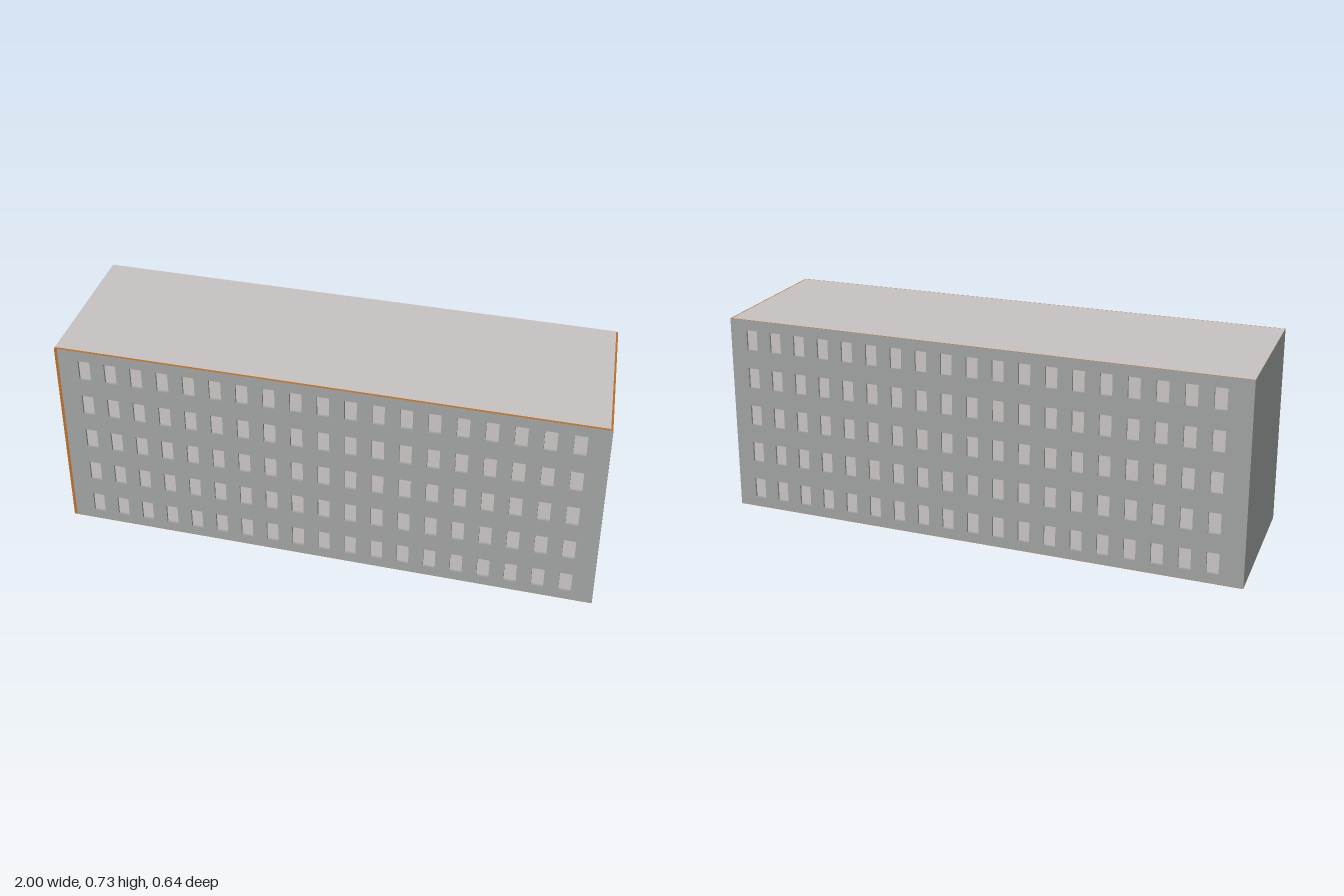
import * as THREE from 'three';

const H = 0.73, T = 0.01, Z = 0.32;
const WIN_W = 0.044, WIN_H = 0.075, COLS = 19, ROWS = 5;
const STEP_X = 0.0972, STEP_Y = 0.1444, FIRST_Y = 0.075;

const mat = (name, color) => {
  const m = new THREE.MeshStandardMaterial({ color });
  m.name = name;
  return m;
};

// Shape from [x, z] plan corners
const plan = (pts) => new THREE.Shape(pts.map(([x, z]) => new THREE.Vector2(x, -z)));

export function createModel() {
  const wall = mat('wallGrey', 0xa0a3a1);
  const pale = mat('paleGrey', 0xc9c4c4);
  const trim = mat('rustTrim', 0xb8702f);
  pale.side = trim.side = THREE.DoubleSide;

  const building = new THREE.Group();
  building.name = 'building';
  const add = (parent, name, geo, material) => {
    const mesh = new THREE.Mesh(geo, material);
    mesh.name = name;
    parent.add(mesh);
    return mesh;
  };

  // Flat or extruded pieces laid out in plan
  const slab = (name, pts, height, y, material) => {
    const geo = new THREE.ExtrudeGeometry(plan(pts), { depth: height, bevelEnabled: false });
    add(building, name, geo.rotateX(-Math.PI / 2), material).position.y = y;
  };

  // Long wall with a grid of real openings and recessed panes
  const windowWall = (name, x0, x1, firstX, zBack, zPane) => {
    const group = new THREE.Group();
    group.name = name;
    const shape = new THREE.Shape();
    shape.moveTo(x0, 0.001).lineTo(x1, 0.001).lineTo(x1, H - 0.002).lineTo(x0, H - 0.002).closePath();
    const paneGeo = new THREE.PlaneGeometry(WIN_W, WIN_H);
    for (let r = 0; r < ROWS; r++) {
      for (let c = 0; c < COLS; c++) {
        const x = firstX + c * STEP_X, y = FIRST_Y + r * STEP_Y;
        const w = WIN_W / 2, h = WIN_H / 2;
        const hole = new THREE.Path();
        hole.moveTo(x - w, y - h).lineTo(x - w, y + h).lineTo(x + w, y + h).lineTo(x + w, y - h).closePath();
        shape.holes.push(hole);
        add(group, 'windowPane', paneGeo, pale).position.set(x, y, zPane);
      }
    }
    const geo = new THREE.ExtrudeGeometry(shape, { depth: T, bevelEnabled: false });
    add(group, 'wallPanel', geo, wall).position.z = zBack;
    building.add(group);
  };
  windowWall('frontWall', -0.945, 1, -0.848, Z - T, Z - T + 0.002);
  windowWall('backWall', -1, 0.945, -0.892, -Z, -Z + T - 0.002);

  // Slanted end walls
  const zi = Z - T;
  slab('rightEndWall', [[0.935, -zi], [0.946, -zi], [0.999, zi], [0.988, zi]], H - 0.003, 0.001, wall);
  slab('leftEndWall', [[-0.999, -zi], [-0.988, -zi], [-0.945, Z - 0.001], [-0.956, Z - 0.001]], H - 0.003, 0.001, wall);

  // Rust-coloured wall edges: a ring below and above the walls
  const ringShape = plan([[-1, -Z], [0.945, -Z], [1, Z], [-0.956, Z]]);
  ringShape.holes.push(plan([[-0.988, -zi], [0.935, -zi], [0.988, zi], [-0.945, zi]]));
  const ring = new THREE.ShapeGeometry(ringShape).rotateX(-Math.PI / 2);
  add(building, 'bottomEdge', ring, trim);
  add(building, 'topEdge', ring, trim).position.y = H - 0.0015;

  // Exposed front end of the left wall
  add(building, 'leftWallEnd', new THREE.PlaneGeometry(0.011, H - 0.002), trim)
    .position.set(-0.9505, H / 2, Z);

  // Roof, leaving the front and right wall edges showing
  const roof = new THREE.ShapeGeometry(plan([[-1, -Z], [0.938, -Z], [0.992, Z - 0.008], [-0.956, Z - 0.008]]));
  add(building, 'roof', roof.rotateX(-Math.PI / 2), pale).position.y = H;

  return building;
}
